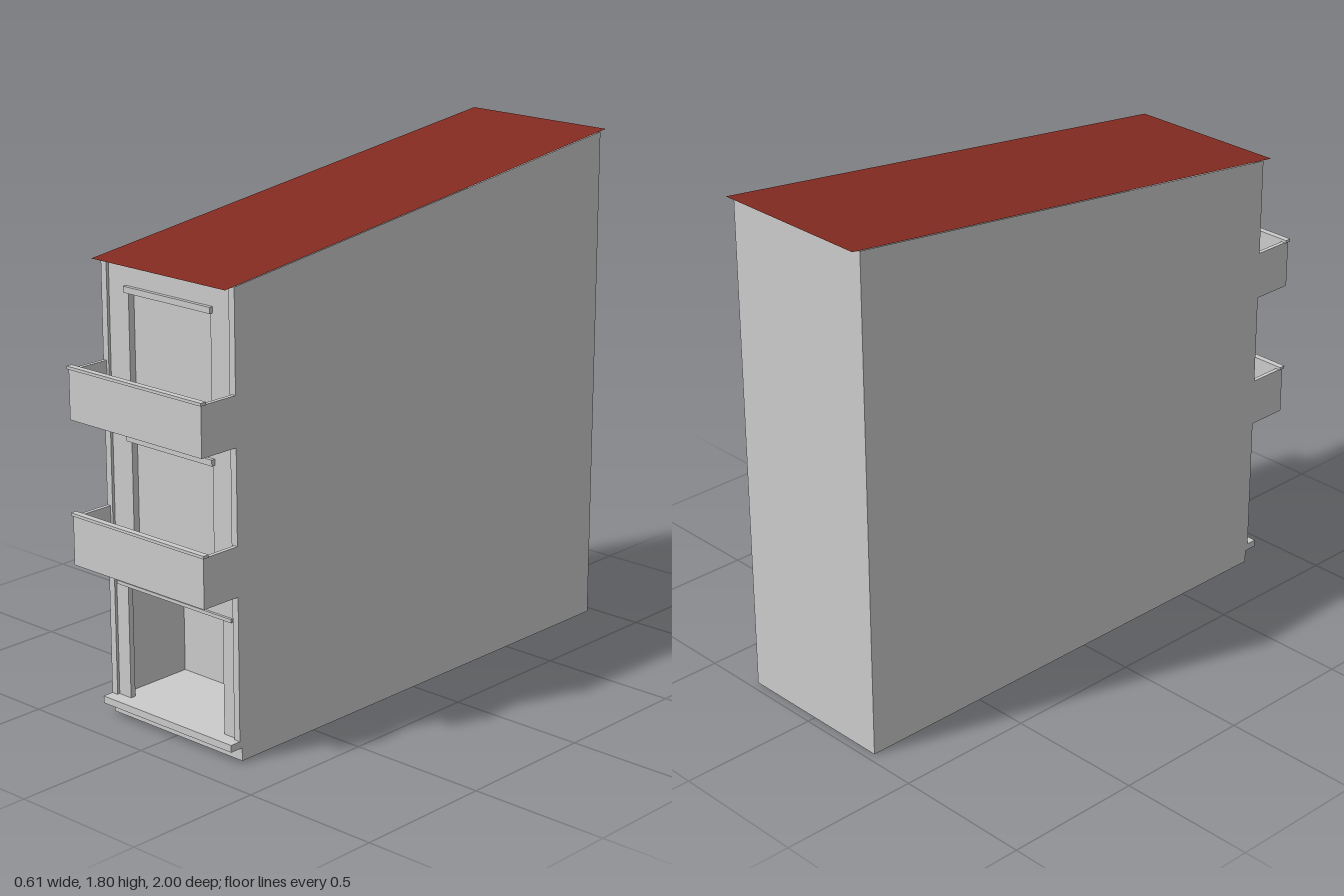
import * as THREE from 'three';

const grey = new THREE.MeshStandardMaterial({ color: 0xcccccc, side: THREE.DoubleSide });
const roofRed = new THREE.MeshStandardMaterial({ color: 0x842b20, side: THREE.DoubleSide });

const W = 0.3, FRONT = 0.845, BACK = -0.97;
const roofY = z => 1.675 - 0.1185 * z;

function add(parent, name, geometry, material = grey) {
  const mesh = new THREE.Mesh(geometry, material);
  mesh.name = name;
  parent.add(mesh);
  return mesh;
}

// Box given by its limits on each axis
function box(parent, name, x0, x1, y0, y1, z0, z1) {
  const mesh = add(parent, name, new THREE.BoxGeometry(x1 - x0, y1 - y0, z1 - z0));
  mesh.position.set((x0 + x1) / 2, (y0 + y1) / 2, (z0 + z1) / 2);
  return mesh;
}

function rect(Type, half, y0, y1) {
  return new Type([[-half, y0], [half, y0], [half, y1], [-half, y1]]
    .map(([x, y]) => new THREE.Vector2(x, y)));
}

// Upright slab centred on x, with rectangular openings [halfWidth, y0, y1]
function slab(parent, name, half, y0, y1, z0, z1, openings) {
  const shape = rect(THREE.Shape, half, y0, y1);
  shape.holes = openings.map(o => rect(THREE.Path, ...o));
  const mesh = add(parent, name, new THREE.ExtrudeGeometry(shape, { depth: z1 - z0, bevelEnabled: false }));
  mesh.position.z = z0;
  return mesh;
}

function buildShell(parent) {
  // Side walls with sloping tops; the shell is open underneath
  const profile = new THREE.Shape([
    [BACK, 0], [FRONT - 0.01, 0], [FRONT - 0.01, 0.045], [FRONT, 0.045],
    [FRONT, roofY(FRONT)], [BACK, roofY(BACK)],
  ].map(([z, y]) => new THREE.Vector2(z, y)));
  const sideGeometry = new THREE.ShapeGeometry(profile).rotateY(-Math.PI / 2);
  for (const [name, s] of [['rightWall', 1], ['leftWall', -1]]) {
    const wall = add(parent, name, sideGeometry);
    wall.scale.x = s;
    wall.position.x = -W * s;
  }

  const h = roofY(BACK);
  const back = add(parent, 'backWall', new THREE.PlaneGeometry(2 * W, h));
  back.rotation.y = Math.PI;
  back.position.set(0, h / 2, BACK);

  // Single sloping roof sheet, overhanging front and back
  const z0 = -1, z1 = 0.885;
  const roof = add(parent, 'roof',
    new THREE.PlaneGeometry(2 * W, Math.hypot(z1 - z0, roofY(z0) - roofY(z1))), roofRed);
  roof.rotation.x = -Math.PI / 2 + Math.atan(0.1185);
  roof.position.set(0, roofY((z0 + z1) / 2) + 0.002, (z0 + z1) / 2);
}

function buildFacade(parent) {
  const top = roofY(FRONT);
  // Outer frame of corner strips, then a set-back wall with door openings
  slab(parent, 'facadeFrame', W, 0.045, top, 0.835, FRONT, [
    [0.275, 0.07, 0.565], [0.275, 0.57, 1.055], [0.275, 1.06, top - 0.003],
  ]);
  slab(parent, 'facadeWall', 0.298, 0.045, top, 0.81, 0.835, [
    [0.265, 0.07, 0.475], [0.185, 0.58, 0.98], [0.185, 1.075, 1.475],
  ]);
  for (const y of [0.58, 1.075]) {
    box(parent, 'balconyDoor', -0.185, 0.185, y, y + 0.4, 0.805, 0.811);
    box(parent, 'doorLintel', -0.195, 0.195, y + 0.397, y + 0.418, 0.83, 0.849);
  }
  box(parent, 'plinth', -W, W, 0, 0.045, 0.825, 0.835);
  box(parent, 'doorstep', -W, W, 0.045, 0.07, 0.81, 0.885);
}

function buildEntrance(parent) {
  // Open room behind the ground-floor front
  const x = 0.265, z0 = 0.54, z1 = 0.812, t = 0.005;
  box(parent, 'entranceFloor', -x, x, 0.06, 0.07, z0, z1);
  box(parent, 'entranceCeiling', -x, x, 0.475, 0.475 + t, z0, z1);
  box(parent, 'entranceBack', -x, x, 0.07, 0.475, z0 - t, z0);
  box(parent, 'entranceLintel', -x, x, 0.468, 0.48, 0.81, 0.844);
  for (const s of [-1, 1]) {
    const wall = box(parent, 'entranceSide', -t / 2, t / 2, 0.07, 0.475, z0, z1);
    wall.position.x = s * (x + t / 2);
    const post = box(parent, 'entrancePost', -0.0225, 0.0225, 0.07, 0.47, 0.815, 0.835);
    post.position.x = s * 0.2425;
  }
}

// Hollow balcony with a floor, three parapet walls and a front rail
function buildBalcony(parent, y) {
  const g = new THREE.Group();
  g.name = 'balcony';
  const h = 0.17, zf = 0.995;
  box(g, 'balconyFloor', -W, W, 0, 0.015, 0.835, zf);
  box(g, 'balconyFront', -W, W, 0.015, h, 0.98, zf);
  box(g, 'balconySideRight', -W, -0.285, 0.015, h, 0.835, 0.98);
  box(g, 'balconySideLeft', 0.285, W, 0.015, h, 0.835, 0.98);
  box(g, 'balconyRail', -0.305, 0.305, h, h + 0.01, 0.977, 1);
  g.position.y = y;
  parent.add(g);
}

export function createModel() {
  const house = new THREE.Group();
  house.name = 'narrowHouse';
  buildShell(house);
  buildFacade(house);
  buildEntrance(house);
  for (const y of [0.565, 1.06]) buildBalcony(house, y);
  return house;
}
